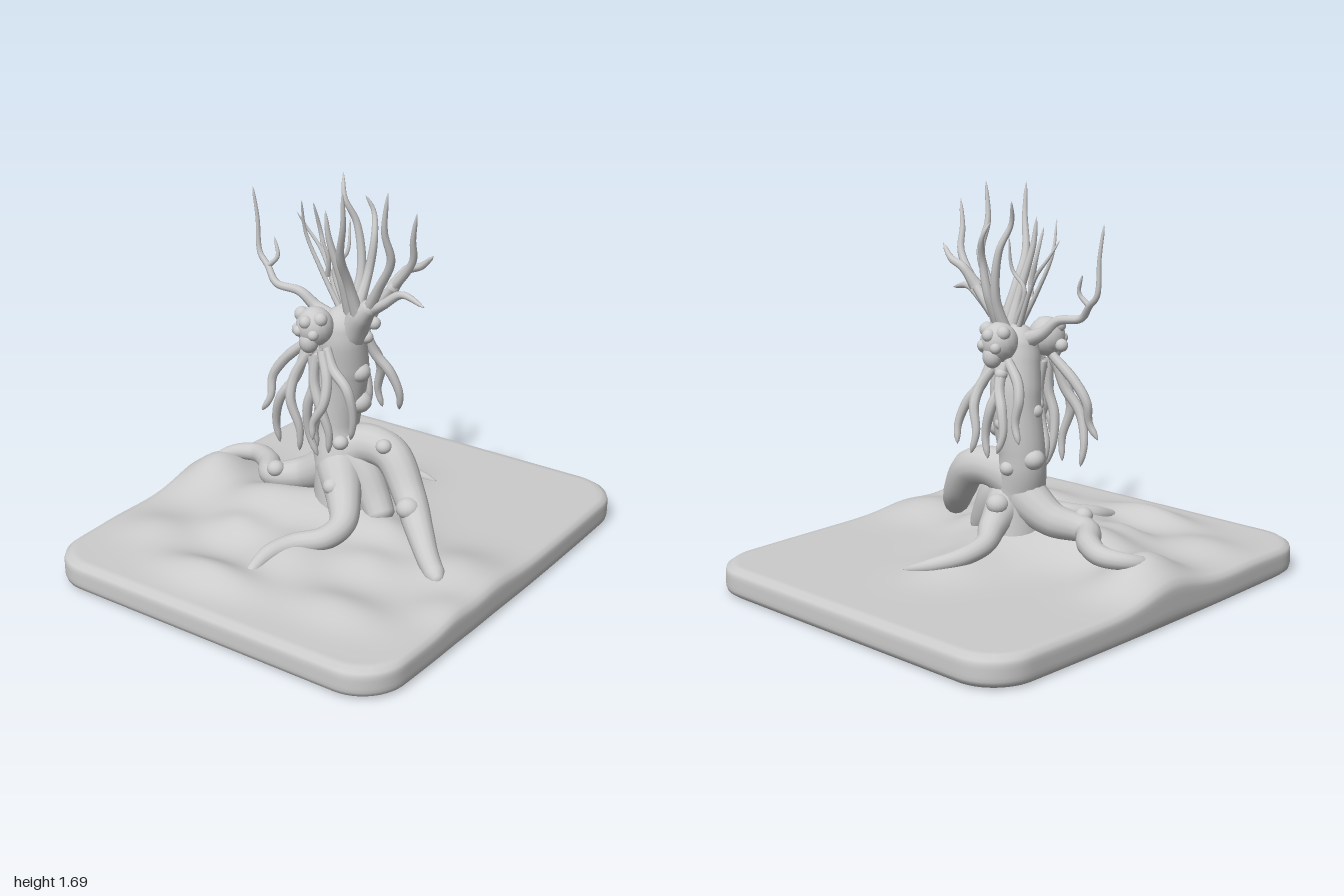
import * as THREE from 'three';
import { mergeVertices } from 'three/addons/utils/BufferGeometryUtils.js';

const mat = new THREE.MeshStandardMaterial({ color: 0xcccccc, side: THREE.DoubleSide });

function add(parent, geometry, name) {
  const mesh = new THREE.Mesh(geometry, mat);
  mesh.name = name;
  parent.add(mesh);
  return mesh;
}

// Organic limb: a tube along a curve whose radius follows the list of radii
function limb(parent, name, points, radii, sides = 10) {
  const curve = new THREE.CatmullRomCurve3(points.map(p => new THREE.Vector3(...p)), false, 'centripetal');
  const steps = points.length * 7;
  const geo = new THREE.TubeGeometry(curve, steps, 1, sides);
  const pos = geo.attributes.position, v = new THREE.Vector3();
  for (let i = 0; i <= steps; i++) {
    const c = curve.getPointAt(i / steps);
    const t = (i / steps) * (radii.length - 1), k = Math.min(Math.floor(t), radii.length - 2);
    let r = THREE.MathUtils.lerp(radii[k], radii[k + 1], t - k);
    r *= Math.sqrt(Math.min(1, (steps - i) / 3)); // rounded tip
    for (let j = 0; j <= sides; j++) {
      const n = i * (sides + 1) + j;
      v.fromBufferAttribute(pos, n).sub(c).multiplyScalar(r).add(c);
      pos.setXYZ(n, v.x, v.y, v.z);
    }
  }
  geo.deleteAttribute('uv');
  geo.deleteAttribute('normal');
  const smooth = mergeVertices(geo, 1e-5);
  smooth.computeVertexNormals();
  return add(parent, smooth, name);
}

function ball(parent, name, [x, y, z], r, sy = 1) {
  const mesh = add(parent, new THREE.SphereGeometry(r, 16, 12), name);
  mesh.position.set(x, y, z);
  mesh.scale.y = sy;
  return mesh;
}

// Mounds on the ground: x, z, height, spread in x, spread in z
const mounds = [
  [-0.72, 0.02, 0.13, 0.16, 0.2], [-0.32, 0.17, 0.12, 0.25, 0.18], [0, 0, 0.12, 0.25, 0.22],
  [-0.28, 0.42, 0.06, 0.16, 0.1], [0.04, 0.45, 0.07, 0.18, 0.18], [0.35, 0.32, 0.05, 0.15, 0.12],
  [0.3, 0.08, 0.06, 0.14, 0.12], [0.68, 0.15, 0.06, 0.2, 0.18], [-0.15, 0.77, 0.065, 0.25, 0.1],
  [0.45, 0.68, 0.045, 0.22, 0.12], [-0.02, -0.35, 0.06, 0.16, 0.2], [-0.6, 0.58, 0.04, 0.18, 0.14],
  [0.8, 0.45, 0.03, 0.12, 0.12],
];
const groundRise = (x, z) => mounds.reduce((h, [mx, mz, a, sx, sz]) =>
  h + a * Math.exp(-(((x - mx) / sx) ** 2) - ((z - mz) / sz) ** 2), 0);

// Slab with rounded corners, soft edges and an uneven top
function makeGround() {
  const hx = 0.86, hz = 1, corner = 0.19;
  const geo = new THREE.BoxGeometry(2 * hx, 2, 2 * hz, 64, 8, 72);
  geo.deleteAttribute('uv');
  geo.deleteAttribute('normal');
  const pos = geo.attributes.position;
  for (let i = 0; i < pos.count; i++) {
    let x = pos.getX(i), z = pos.getZ(i);
    const v = pos.getY(i);
    const qx = THREE.MathUtils.clamp(x, -hx + corner, hx - corner);
    const qz = THREE.MathUtils.clamp(z, -hz + corner, hz - corner);
    const dx = x - qx, dz = z - qz, len = Math.hypot(dx, dz);
    if (len > 0) {
      const k = Math.max(Math.abs(dx), Math.abs(dz)) / len;
      x = qx + dx * k;
      z = qz + dz * k;
    }
    const shrink = 1 - 0.025 * v ** 6, up = (v + 1) / 2;
    const bow = 1 - 0.02 * z * z; // long sides bulge slightly
    pos.setXYZ(i, x * shrink * bow, 0.008 + up * (0.127 + groundRise(x, z)), z * shrink);
  }
  const smooth = mergeVertices(geo, 1e-5);
  smooth.computeVertexNormals();
  return smooth;
}

export function createModel() {
  const model = new THREE.Group();
  model.name = 'treeCreature';
  add(model, makeGround(), 'ground');

  // Trunk and four sprawling roots
  limb(model, 'trunk', [[0.01, 0.15, 0], [-0.02, 0.38, 0.01], [-0.06, 0.55, -0.01], [-0.03, 0.8, -0.02],
    [-0.01, 1.0, 0.01], [-0.01, 1.14, 0.02]], [0.15, 0.13, 0.11, 0.1, 0.105, 0.11, 0.1, 0.07], 20);
  limb(model, 'rightRoot', [[-0.05, 0.4, 0], [-0.2, 0.31, 0.02], [-0.35, 0.28, 0.07], [-0.46, 0.27, -0.04],
    [-0.58, 0.26, -0.1], [-0.68, 0.25, -0.06], [-0.73, 0.23, 0.04]], [0.1, 0.075, 0.055, 0.05, 0.04, 0.025], 14);
  limb(model, 'leftRoot', [[-0.04, 0.44, 0], [0.07, 0.5, -0.04], [0.2, 0.48, -0.05], [0.33, 0.34, 0],
    [0.44, 0.25, 0.09], [0.56, 0.19, 0.2], [0.67, 0.16, 0.29]], [0.1, 0.085, 0.075, 0.065, 0.05, 0.04], 14);
  limb(model, 'frontRoot', [[-0.01, 0.4, 0.04], [0.08, 0.31, 0.13], [0.15, 0.25, 0.24], [0.13, 0.22, 0.34],
    [0.03, 0.2, 0.42], [-0.02, 0.18, 0.53], [-0.02, 0.14, 0.68]], [0.1, 0.075, 0.055, 0.045, 0.04, 0.02], 14);
  limb(model, 'backRoot', [[0, 0.38, -0.02], [-0.02, 0.28, -0.15], [-0.08, 0.24, -0.26], [-0.07, 0.21, -0.38],
    [0.01, 0.18, -0.48], [0.14, 0.14, -0.53]], [0.1, 0.065, 0.045, 0.04, 0.03, 0.012], 14);
  // Web of wood filling the arch under the left root
  limb(model, 'rootWeb', [[-0.01, 0.44, 0.01], [0.08, 0.38, -0.01], [0.15, 0.28, 0], [0.22, 0.18, 0.03]],
    [0.09, 0.08, 0.07, 0.06], 14);

  // Round growths on the trunk and roots
  [[-0.31, 0.33, 0.1, 0.04], [0.035, 0.36, 0.15, 0.042], [0.2, 0.535, 0.005, 0.035], [0.37, 0.32, 0.07, 0.052],
    [-0.14, 0.57, -0.03, 0.05], [0.06, 0.84, -0.01, 0.05], [0.04, 0.69, -0.04, 0.055], [0.02, 0.53, 0.07, 0.035],
    [-0.02, 0.37, -0.12, 0.05], [-0.06, 0.53, -0.1, 0.035], [-0.12, 0.77, 0, 0.035], [0.09, 1, -0.02, 0.03],
    [-0.03, 0.72, -0.1, 0.035], [-0.07, 0.78, 0.07, 0.03],
  ].forEach(([x, y, z, r]) => ball(model, 'growth', [x, y, z], r, 0.9));

  // Two knobbly heads, one facing forwards and one backwards
  [[-0.06, 1.06, 0.14, 1], [-0.01, 1.06, -0.1, -1]].forEach(([x, y, z, s]) => {
    const head = new THREE.Group();
    head.name = s > 0 ? 'frontHead' : 'backHead';
    ball(head, 'skull', [0, 0.005, 0], 0.08, 1.05);
    ball(head, 'muzzle', [0, -0.05, 0.04], 0.042, 1.2);
    ball(head, 'chin', [0.03, -0.125, 0.02], 0.028, 0.9);
    [[0, 0.04, 0.062, 0.028], [0.037, -0.01, 0.06, 0.024], [-0.037, -0.005, 0.06, 0.024],
      [0.048, 0.05, 0.025, 0.03], [-0.05, 0.055, 0.02, 0.032], [-0.085, -0.025, 0, 0.028],
    ].forEach(([a, b, c, r]) => ball(head, 'knob', [a, b, c], r));
    head.position.set(x, y, z);
    if (s < 0) head.rotation.y = Math.PI;
    model.add(head);
  });

  // Hanging tentacles: start, middle, end
  const tentacles = [
    [[-0.1, 0.99, 0.13], [-0.27, 0.8, 0.16], [-0.31, 0.64, 0.19]],
    [[-0.09, 0.97, 0.16], [-0.19, 0.74, 0.21], [-0.22, 0.51, 0.18]],
    [[-0.07, 0.96, 0.17], [-0.13, 0.75, 0.22], [-0.1, 0.51, 0.2]],
    [[-0.05, 0.95, 0.17], [-0.07, 0.72, 0.18], [-0.04, 0.48, 0.15]],
    [[-0.03, 0.96, 0.17], [0, 0.74, 0.19], [0.03, 0.52, 0.17]],
    [[-0.01, 0.97, 0.16], [0.04, 0.76, 0.22], [0, 0.6, 0.24]],
    [[0, 0.98, 0.14], [0.13, 0.84, 0.18], [0.13, 0.6, 0.15]],
    [[-0.05, 0.96, 0.13], [-0.04, 0.7, 0.13], [-0.07, 0.5, 0.11]],
    [[0.03, 0.99, -0.1], [0.12, 0.8, -0.16], [0.14, 0.62, -0.2]],
    [[0, 0.97, -0.11], [0.05, 0.8, -0.19], [0.04, 0.6, -0.22]],
    [[-0.02, 0.97, -0.11], [-0.03, 0.8, -0.17], [-0.02, 0.58, -0.18]],
    [[-0.04, 0.98, -0.1], [-0.1, 0.8, -0.18], [-0.1, 0.62, -0.21]],
    [[-0.05, 0.99, -0.09], [-0.15, 0.84, -0.13], [-0.17, 0.66, -0.15]],
  ];
  tentacles.forEach(([a, b, c], i) => {
    const w = i % 2 ? 0.022 : -0.022;
    const mix = (p, q, k, side) => p.map((n, j) => THREE.MathUtils.lerp(n, q[j], k) + (j === 0 ? side : 0));
    limb(model, 'tentacle', [a, mix(a, b, 0.55, w), b, mix(b, c, 0.55, -w), c], [0.02, 0.023, 0.022, 0.018, 0.012], 8);
  });

  // Left shoulder bough and its antlers
  limb(model, 'leftBough', [[0, 0.95, 0], [0.06, 1.05, 0.02], [0.11, 1.12, 0.04], [0.18, 1.19, 0.05]],
    [0.07, 0.062, 0.05, 0.028], 12);
  const antlers = [
    [[0.1, 1.1, 0.05], [0.09, 1.27, 0.11], [0.1, 1.4, 0.18], [0.15, 1.56, 0.23], [0.16, 1.7, 0.25]],
    [[0.13, 1.13, 0.04], [0.21, 1.26, 0.07], [0.29, 1.4, 0.1], [0.285, 1.53, 0.14], [0.31, 1.7, 0.155]],
    [[0.14, 1.14, 0.04], [0.25, 1.26, 0.03], [0.36, 1.4, 0.05], [0.38, 1.5, 0.08], [0.41, 1.62, 0.1]],
    [[0.25, 1.26, 0.03], [0.3, 1.34, 0], [0.37, 1.37, 0], [0.44, 1.43, 0.02]],
    [[0.15, 1.15, 0.04], [0.22, 1.19, 0.05], [0.31, 1.25, 0.05], [0.44, 1.23, 0.08]],
    [[-0.01, 1.08, -0.05], [0, 1.25, -0.11], [-0.03, 1.45, -0.12], [-0.07, 1.56, -0.09], [-0.1, 1.66, -0.12]],
    [[0.02, 1.1, -0.05], [0.03, 1.25, -0.12], [0.045, 1.4, -0.14], [0.02, 1.5, -0.17], [-0.01, 1.57, -0.15]],
    [[0.04, 1.1, 0.02], [0.03, 1.28, 0.08], [0.0, 1.45, 0.12], [-0.01, 1.57, 0.13]],
  ];
  antlers.forEach(p => limb(model, 'antler', p, [0.03, 0.021, 0.018, 0.013, 0.006], 8));

  // Thin twigs and the reaching right branch
  const twigs = [
    [[-0.02, 1.12, 0.02], [-0.11, 1.28, 0.03], [-0.17, 1.43, 0.05], [-0.16, 1.58, 0.09]],
    [[-0.03, 1.12, 0], [-0.14, 1.34, -0.02], [-0.2, 1.42, -0.01], [-0.24, 1.5, 0.02]],
    [[-0.01, 1.13, 0], [-0.06, 1.28, 0], [0, 1.36, -0.01], [0, 1.5, -0.03]],
    [[-0.12, 1.31, -0.02], [-0.15, 1.41, -0.03], [-0.16, 1.55, 0.01]],
    [[-0.08, 1.25, 0.02], [-0.06, 1.33, 0.04], [-0.08, 1.42, 0.06]],
    [[-0.38, 1.24, 0.04], [-0.335, 1.29, 0.03], [-0.36, 1.37, 0.02]],
  ];
  twigs.forEach(p => limb(model, 'twig', p, [0.013, 0.01, 0.008, 0.004], 7));
  limb(model, 'rightBranch', [[-0.05, 1.06, 0.02], [-0.14, 1.1, 0.02], [-0.21, 1.16, 0.04], [-0.32, 1.18, 0.06],
    [-0.38, 1.24, 0.04], [-0.43, 1.29, 0.03], [-0.44, 1.44, 0.03], [-0.455, 1.58, 0.04]],
    [0.04, 0.026, 0.019, 0.016, 0.013, 0.01, 0.008, 0.005], 8);

  return model;
}
